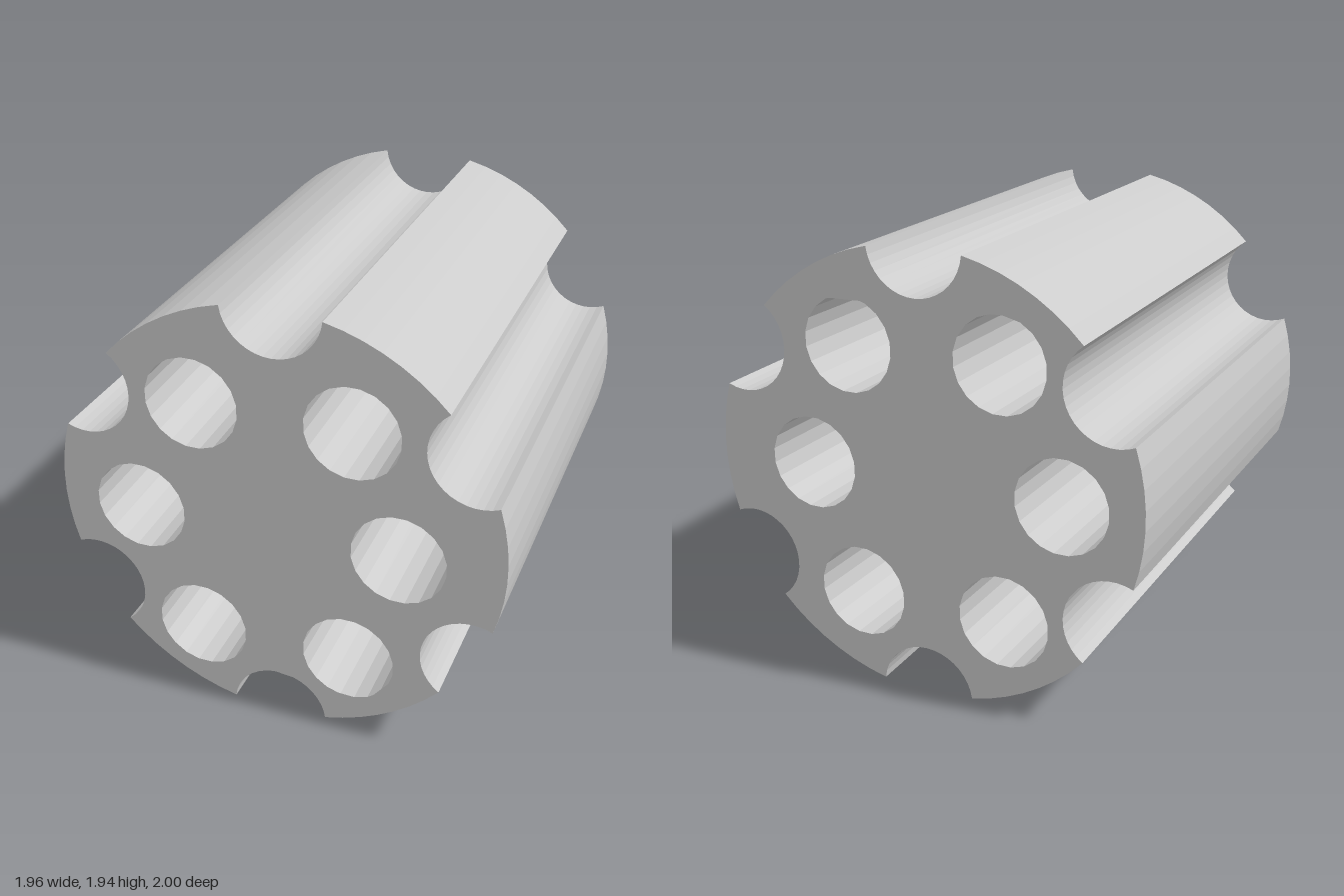
import * as THREE from 'three';

const CY = 0.977;        // height of the drum's centre
const R = 0.975;         // rim radius
const FLUTE_R = 0.213;   // scalloped flute radius, centred on the rim
const HOLE_R = 0.203;
const HOLES = [[-0.36, 1.495], [0.325, 1.495], [-0.62, 0.955], [0.523, 0.955], [-0.36, 0.4], [0.31, 0.4]];

// Rim of six arcs alternating with six concave flutes
function rimPoints() {
  const pts = [];
  const half = 2 * Math.asin(FLUTE_R / (2 * R));
  const sweep = Math.PI / 2 - half / 2;
  const fluteSteps = 18, arcSteps = 7;
  for (let k = 0; k < 6; k++) {
    const a = Math.PI / 6 + k * Math.PI / 3;
    const cx = R * Math.cos(a), cy = CY + R * Math.sin(a);
    for (let i = 0; i <= fluteSteps; i++) {
      const t = a + Math.PI + sweep * (1 - 2 * i / fluteSteps);
      pts.push(new THREE.Vector2(cx + FLUTE_R * Math.cos(t), cy + FLUTE_R * Math.sin(t)));
    }
    const arc = Math.PI / 3 - 2 * half;
    for (let i = 1; i < arcSteps; i++) {
      const t = a + half + arc * i / arcSteps;
      pts.push(new THREE.Vector2(R * Math.cos(t), CY + R * Math.sin(t)));
    }
  }
  return pts;
}

function holePath([x, y], sides = 20) {
  const pts = [];
  for (let i = 0; i < sides; i++) {
    const t = -(i + 0.5) * 2 * Math.PI / sides;
    pts.push(new THREE.Vector2(x + HOLE_R * Math.cos(t), y + HOLE_R * Math.sin(t)));
  }
  return new THREE.Path(pts);
}

export function createModel() {
  const group = new THREE.Group();
  group.name = 'cylinderDrum';

  const shape = new THREE.Shape(rimPoints());
  HOLES.forEach((h) => shape.holes.push(holePath(h)));
  const geometry = new THREE.ExtrudeGeometry(shape, { depth: 1.964, bevelEnabled: false });
  geometry.translate(0, 0, -0.982);

  // Tip the drum slightly upward at the front; the bores stay level
  const p = geometry.attributes.position;
  for (let i = 0; i < p.count; i++) {
    let x = p.getX(i), y = p.getY(i), z = p.getZ(i);
    const inBore = HOLES.some(([hx, hy]) => Math.hypot(x - hx, y - hy) < HOLE_R + 0.005);
    if (!inBore) {
      x -= 0.005 * z;
      y += 0.0205 * z;
    }
    p.setXYZ(i, x, y, z - 0.02 * (y - CY) + 0.005 * x);
  }
  geometry.computeVertexNormals();

  const drum = new THREE.Mesh(geometry, new THREE.MeshStandardMaterial({ color: 0xcccccc, flatShading: true }));
  drum.name = 'flutedDrum';
  group.add(drum);
  return group;
}
